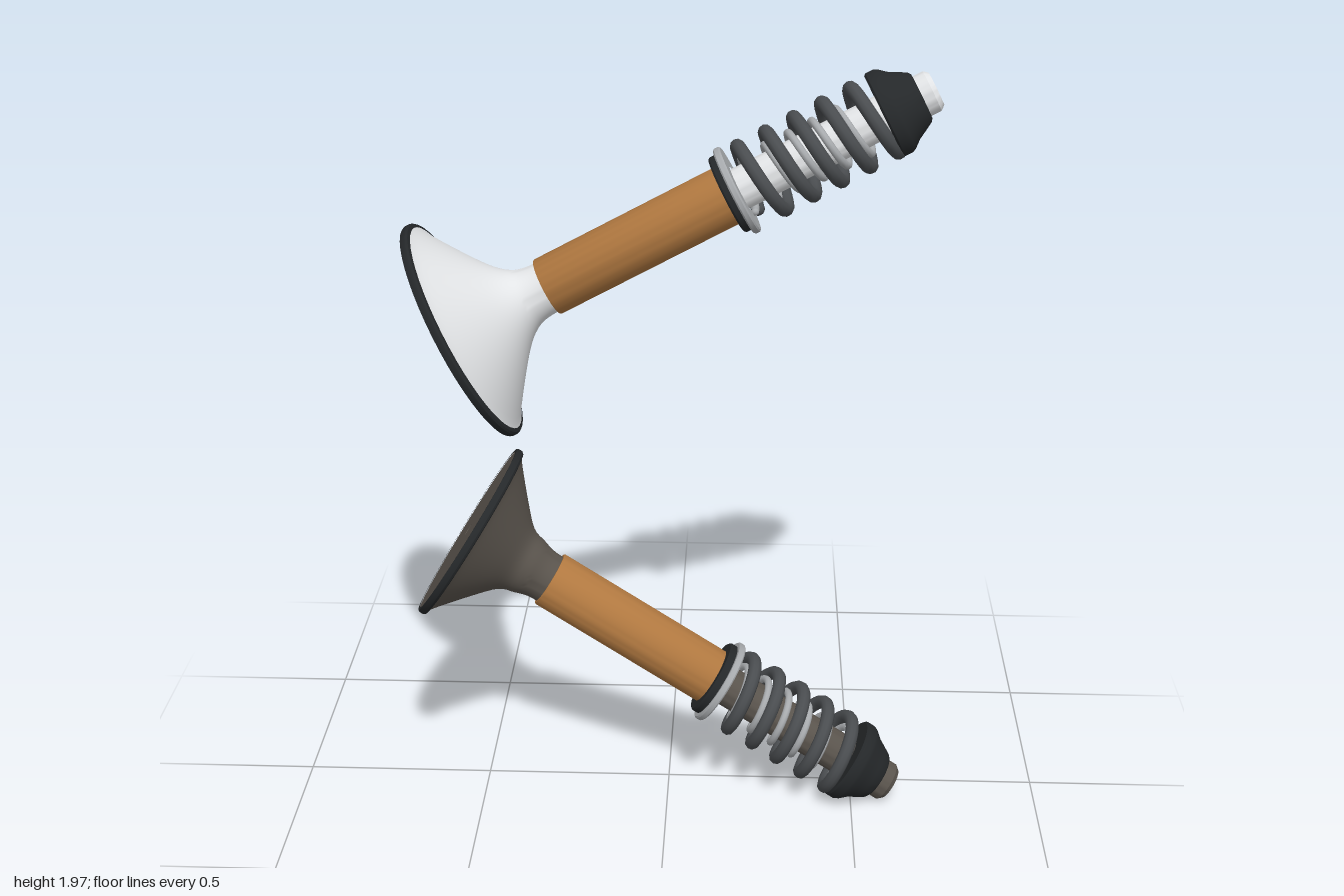
import * as THREE from 'three';
import { toCreasedNormals } from 'three/addons/utils/BufferGeometryUtils.js';

const mat = (color) => new THREE.MeshStandardMaterial({ color });

// Turned part around the valve axis; points are [radius, distance along axis].
function turned(name, points, material, crease = 0.6) {
  const geo = new THREE.LatheGeometry(points.map(([r, t]) => new THREE.Vector2(r, t)), 48);
  const mesh = new THREE.Mesh(toCreasedNormals(geo, crease), material);
  mesh.name = name;
  return mesh;
}

// Coil spring with slightly closed ends.
class Helix extends THREE.Curve {
  constructor(radius, from, to, turns, phase) {
    super();
    Object.assign(this, { radius, from, to, turns, phase });
  }
  getPoint(s, target = new THREE.Vector3()) {
    const a = this.phase - s * this.turns * Math.PI * 2;
    return target.set(
      Math.cos(a) * this.radius,
      this.from + (this.to - this.from) * s,
      Math.sin(a) * this.radius
    );
  }
}

function spring(name, radius, wire, from, to, turns, phase, material) {
  const curve = new Helix(radius, from, to, turns, phase);
  const group = new THREE.Group();
  group.name = name;
  group.add(new THREE.Mesh(new THREE.TubeGeometry(curve, 200, wire, 10), material));
  // Round caps on the wire ends
  for (const s of [0, 1]) {
    const cap = new THREE.Mesh(new THREE.SphereGeometry(wire, 10, 8), material);
    cap.position.copy(curve.getPoint(s));
    group.add(cap);
  }
  return group;
}

function valve(name, headRadius, metal, materials, centre, tip) {
  const { bronze, black, wire, steel } = materials;
  const R = headRadius;
  const group = new THREE.Group();
  group.name = name;

  // Flared head running into the neck
  const flare = new THREE.SplineCurve([
    [R - 0.006, 0.016], [R * 0.88, 0.032], [R * 0.57, 0.1], [R * 0.37, 0.15],
    [0.08, 0.19], [0.07, 0.225], [0.068, 0.262],
  ].map(([r, t]) => new THREE.Vector2(r, t))).getPoints(24).map((p) => [p.x, p.y]);
  group.add(turned('head', [[0, 0.004], [0.012, 0.004], [0.016, 0], [R - 0.006, 0], ...flare], metal));

  // Dark seating rim
  group.add(turned('rim', [
    [R - 0.012, -0.002], [R - 0.003, -0.002], [R, 0.003], [R, 0.014],
    [R - 0.004, 0.019], [R - 0.014, 0.021],
  ], black));

  // Bronze guide sleeve
  group.add(turned('guide', [[0, 0.254], [0.075, 0.254], [0.077, 0.258], [0.077, 0.77], [0, 0.77]], bronze));

  // Seal and spring seat
  group.add(turned('seal', [[0, 0.765], [0.1, 0.765], [0.104, 0.77], [0.104, 0.788], [0, 0.788]], black));
  group.add(turned('springSeat', [
    [0.06, 0.785], [0.114, 0.785], [0.118, 0.789], [0.118, 0.8], [0.114, 0.804], [0.06, 0.804],
  ], steel));

  // Stem inside the springs, ending in a bevelled tip with a centre hole
  group.add(turned('stem', [
    [0.054, 0.76], [0.054, 1.332], [0.044, 1.344], [0.014, 1.344], [0.012, 1.334], [0, 1.334],
  ], metal));
  group.add(turned('tipHole', [[0.013, 1.337], [0, 1.337]], black));

  // Outer and inner springs
  group.add(spring('outerSpring', 0.098, 0.018, 0.815, 1.205, 5, Math.PI * 1.8, wire));
  group.add(spring('innerSpring', 0.07, 0.01, 0.81, 1.2, 6, 0, steel));

  // Domed retainer
  group.add(turned('retainer', [
    [0.05, 1.2], [0.108, 1.2], [0.113, 1.205], [0.113, 1.226], [0.108, 1.236],
    [0.092, 1.255], [0.08, 1.277], [0.068, 1.298], [0.06, 1.304], [0.05, 1.304],
  ], black));

  // Lay the axis from the head centre to the tip
  const axis = new THREE.Vector3(...tip).sub(new THREE.Vector3(...centre)).normalize();
  group.quaternion.setFromUnitVectors(new THREE.Vector3(0, 1, 0), axis);
  group.position.set(...centre);
  return group;
}

export function createModel() {
  const model = new THREE.Group();
  model.name = 'valvePair';
  const materials = {
    bronze: mat(0xb07840),
    black: mat(0x25282a),
    wire: mat(0x4a4d50),
    steel: mat(0xa8abae),
  };
  model.add(valve('upperValve', 0.3, mat(0xe2e4e6), materials, [-0.535, 1.325, 0], [0.655, 1.945, -0.085]));
  model.add(valve('lowerValve', 0.253, mat(0x5a544d), materials, [-0.535, 0.765, 0], [0.607, 0.06, 0.085]));
  return model;
}
